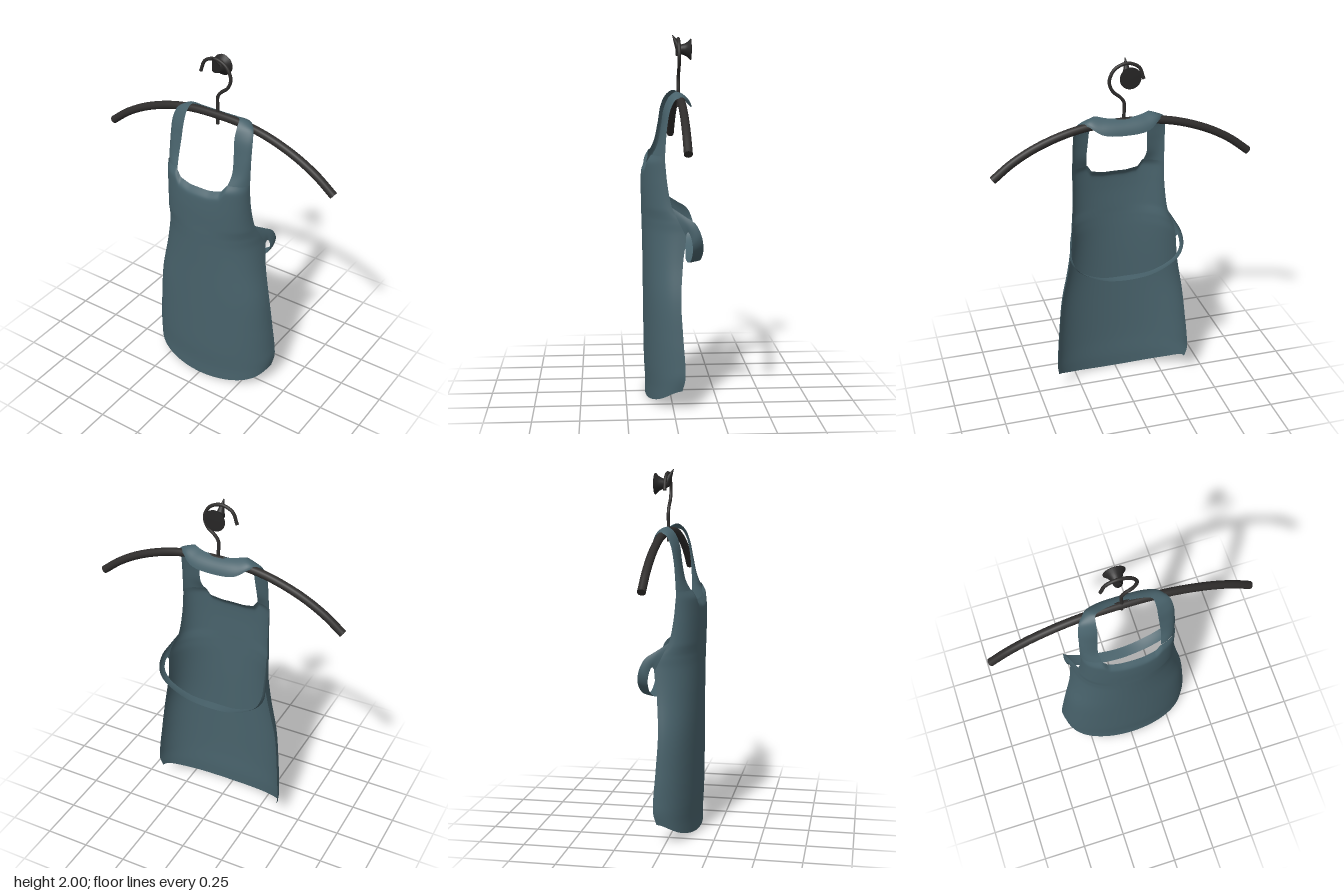
import * as THREE from 'three';

const V = (x, y, z) => new THREE.Vector3(x, y, z);
const material = (name, color, side = THREE.FrontSide) => {
  const m = new THREE.MeshStandardMaterial({ color, side });
  m.name = name;
  return m;
};

// Smooth grid surface: at(s, t) gives the point along rows and columns, both 0 to 1
function gridSurface(rows, cols, at) {
  const pos = [], idx = [];
  for (let i = 0; i <= rows; i++) {
    for (let j = 0; j <= cols; j++) {
      pos.push(...at(i / rows, j / cols).toArray());
      if (i < rows && j < cols) {
        const a = i * (cols + 1) + j, b = a + cols + 1;
        idx.push(a, a + 1, b, a + 1, b + 1, b);
      }
    }
  }
  const g = new THREE.BufferGeometry();
  g.setAttribute('position', new THREE.Float32BufferAttribute(pos, 3));
  g.setIndex(idx);
  g.computeVertexNormals();
  return g;
}

// Half of a path mirrored across x = 0 into one smooth curve
function mirroredCurve(half) {
  const pts = half.map(p => V(...p));
  const other = pts.slice(0, -1).reverse().map(p => V(-p.x, p.y, p.z));
  return new THREE.CatmullRomCurve3([...pts, ...other]);
}

// Cloth ribbon between two mirrored edge curves, slightly bowed across
function ribbon(outer, inner, bowX, bowZ) {
  const a = mirroredCurve(outer), b = mirroredCurve(inner);
  return gridSurface(96, 8, (s, t) => {
    const p = a.getPoint(s).lerp(b.getPoint(s), t);
    const bow = 4 * t * (1 - t), front = Math.cos(2 * Math.PI * s);
    p.x += bow * bowX * THREE.MathUtils.clamp(p.x / 0.15, -1, 1);
    p.y += bow * bowZ * Math.max(0, -front);
    p.z += bow * bowZ * front;
    return p;
  });
}

export function createModel() {
  const group = new THREE.Group();
  const cloth = material('slate teal cloth', 0x48626b, THREE.DoubleSide);
  const wood = material('dark hanger', 0x2f2d2c);
  const metal = material('black peg', 0x272626);

  const add = (name, geometry, mat, parent = group) => {
    const m = new THREE.Mesh(geometry, mat);
    m.name = name;
    parent.add(m);
    return m;
  };

  // Round rod along a path, closed at both ends
  const rod = (name, pts, r, segments) => {
    const g = new THREE.Group();
    g.name = name;
    const curve = new THREE.CatmullRomCurve3(pts);
    add(name + 'Rod', new THREE.TubeGeometry(curve, segments, r, 16), wood, g);
    for (const t of [0, 1]) {
      const cap = add(name + 'End', new THREE.CircleGeometry(r, 16), wood, g);
      const p = curve.getPoint(t);
      cap.position.copy(p);
      cap.lookAt(p.clone().addScaledVector(curve.getTangent(t), t ? 1 : -1));
    }
    group.add(g);
  };

  // Apron body: height, half width, front z, side edge z
  const sections = [
    [0.005, 0.382, 0.14, -0.045], [0.1, 0.393, 0.14, -0.06],
    [0.2, 0.39, 0.145, -0.06], [0.4, 0.377, 0.148, -0.05],
    [0.6, 0.355, 0.15, -0.04], [0.8, 0.318, 0.152, -0.052],
    [0.95, 0.3, 0.155, -0.07], [1.02, 0.292, 0.157, -0.055],
    [1.08, 0.276, 0.158, 0], [1.2, 0.262, 0.16, 0.03],
    [1.265, 0.26, 0.157, 0.038], [1.305, 0.26, 0.128, 0.04],
  ];
  const heightWidth = new THREE.CatmullRomCurve3(sections.map(s => V(s[0], s[1], 0)));
  const depths = new THREE.CatmullRomCurve3(sections.map(s => V(s[2], s[3], 0)));
  const wrap = 1.36, endCos = Math.cos(wrap);
  const body = add('apronBody', gridSurface(72, 64, (s, t) => {
    const hw = heightWidth.getPoint(s), d = depths.getPoint(s);
    const a = (2 * t - 1) * wrap;
    const u = Math.sin(a) / Math.sin(wrap), side = Math.abs(u);
    const forward = Math.max(0, (Math.cos(a) - endCos) / (1 - endCos)) ** 0.7;
    // hem rises to the corners, neckline sweeps up into the straps
    const hem = (0.07 * side ** 2 + 0.045 * side ** 10) * Math.max(0, 1 - hw.x / 0.4);
    const neck = (0.015 * THREE.MathUtils.smoothstep(side, 0.2, 0.55)
      + 0.045 * THREE.MathUtils.smoothstep(side, 0.48, 0.64))
      * THREE.MathUtils.smoothstep(hw.x, 1.1, 1.305);
    return V(hw.x ? hw.y * u : 0, hw.x + hem + neck, d.y + (d.x - d.y) * forward);
  }), cloth);

  // Shoulder straps running on behind the neck
  const strap = add('neckStrap', ribbon(
    [[0.26, 1.363, 0.04], [0.259, 1.43, 0.036], [0.257, 1.52, 0.028],
      [0.252, 1.61, 0.01], [0.236, 1.66, -0.02], [0.195, 1.662, -0.07],
      [0.125, 1.622, -0.108], [0, 1.61, -0.117]],
    [[0.161, 1.358, 0.107], [0.171, 1.42, 0.077], [0.167, 1.51, 0.058],
      [0.16, 1.61, 0.042], [0.158, 1.67, 0.015], [0.148, 1.698, -0.02],
      [0.09, 1.69, -0.043], [0, 1.683, -0.052]],
    0.014, 0.011), cloth);

  // Waist tie drooping across the back
  const tie = add('waistTie', ribbon(
    [[0.27, 1.092, 0.005], [0.294, 1.05, -0.06], [0.313, 1.008, -0.12], [0.317, 0.94, -0.152],
      [0.285, 0.87, -0.163], [0.16, 0.79, -0.16], [0, 0.763, -0.153]],
    [[0.3, 0.945, -0.067], [0.306, 0.965, -0.08], [0.312, 0.94, -0.094], [0.308, 0.89, -0.104],
      [0.27, 0.835, -0.106], [0.15, 0.772, -0.1], [0, 0.758, -0.092]],
    0.006, 0), cloth);
  for (const part of [body, strap, tie]) part.position.x = 0.004;

  // Hanger bar and its wire hook
  rod('hangerBar', [[-0.71, 1.415], [-0.6, 1.5], [-0.45, 1.58], [-0.24, 1.645], [0, 1.663],
    [0.24, 1.645], [0.45, 1.58], [0.6, 1.5], [0.71, 1.415]].map(p => V(p[0], p[1], -0.048)), 0.022, 64);
  rod('hangerHook', [[0, 1.61], [0, 1.7], [0, 1.77], [0.02, 1.8], [0.06, 1.835], [0.079, 1.89],
    [0.05, 1.953], [-0.015, 1.98], [-0.08, 1.955], [-0.107, 1.89]].map(p => V(p[0], p[1], -0.048)), 0.009, 72);

  // Wall peg: flared round base with an upturned tip
  const peg = new THREE.Group();
  peg.name = 'wallPeg';
  const profile = [[0, 0], [0.058, 0], [0.057, 0.004], [0.042, 0.018], [0.032, 0.035], [0.026, 0.055], [0.018, 0.075], [0, 0.082]]
    .map(p => new THREE.Vector2(...p));
  const base = add('pegBase', new THREE.LatheGeometry(profile, 28), metal, peg);
  base.rotation.x = Math.PI / 2;
  base.position.set(-0.015, 1.922, -0.118);
  const from = V(-0.015, 1.92, -0.06), to = V(-0.015, 2, -0.016);
  const tip = add('pegTip', new THREE.CylinderGeometry(0.002, 0.026, from.distanceTo(to), 16), metal, peg);
  tip.position.copy(from).lerp(to, 0.5);
  tip.quaternion.setFromUnitVectors(V(0, 1, 0), to.sub(from).normalize());
  group.add(peg);

  return group;
}
